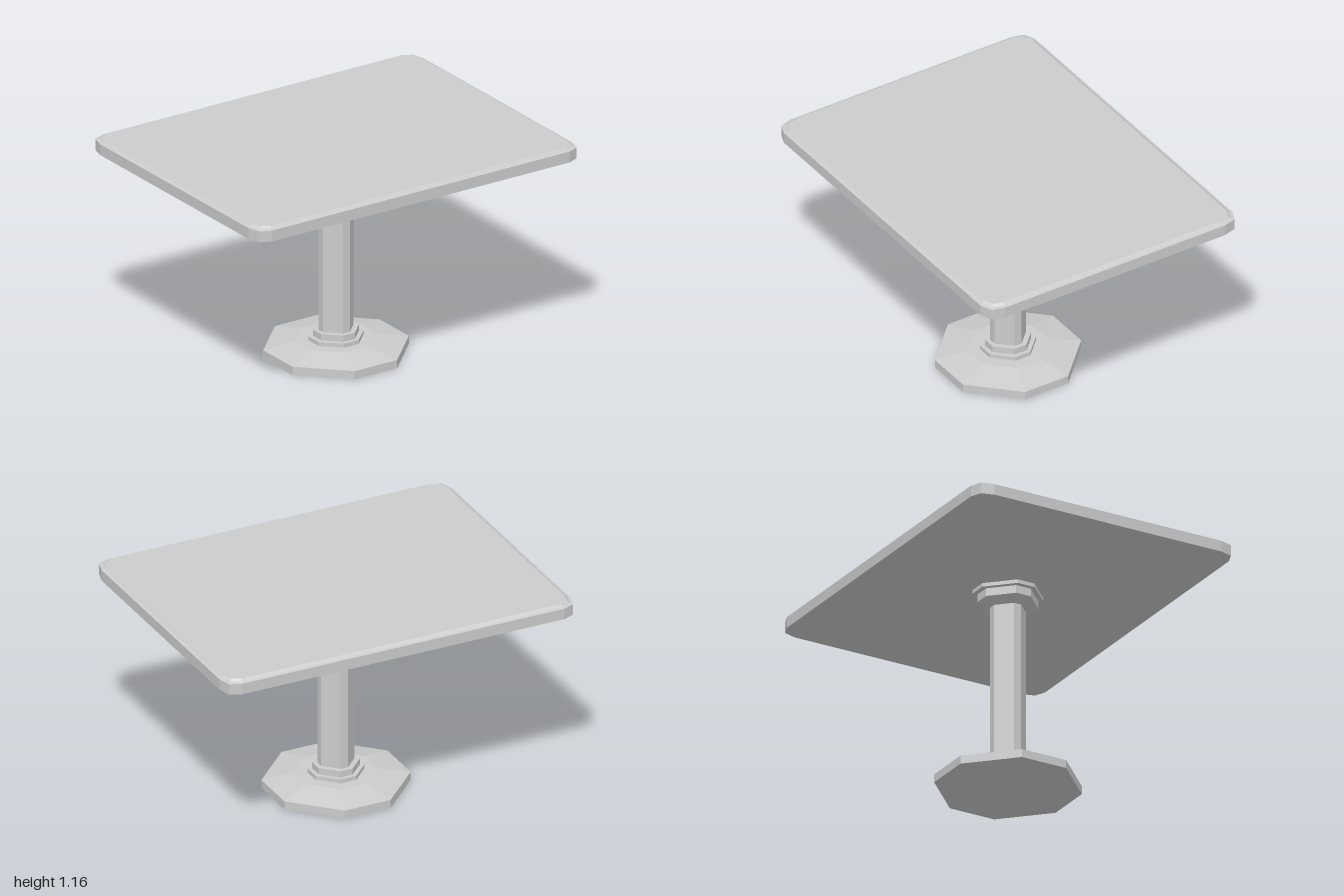
import * as THREE from 'three';

const material = new THREE.MeshStandardMaterial({ color: 0xcccccc, flatShading: true });

// Mirror the points of one corner into a closed outline
function mirrorCorner(q) {
  const r = [...q].reverse();
  return [
    ...q,
    ...r.map(([x, z]) => [-x, z]),
    ...q.map(([x, z]) => [-x, -z]),
    ...r.map(([x, z]) => [x, -z]),
  ];
}

// Eight-sided outline: half width h, half length c of the four straight sides
const octagon = (h, c) => mirrorCorner([[h, c], [c, h]]);

// Rounded table outline, moved inwards by d
const tableOutline = (d) => mirrorCorner([
  [1 - d, 0.67 - 0.5 * d],
  [0.98 - 0.8 * d, 0.74 - d],
  [0.92 - 0.4 * d, 0.765 - d],
]);

// Closed solid through a stack of outlines, each given as [y, outline]
function loft(name, sections) {
  const pos = [];
  const rings = sections.map(([y, pts]) => pts.map(([x, z]) => [x, y, z]));
  const n = rings[0].length;
  const tri = (a, b, c) => pos.push(...a, ...b, ...c);
  for (let i = 0; i < n; i++) {
    const j = (i + 1) % n;
    for (let k = 0; k + 1 < rings.length; k++) {
      const a = rings[k], b = rings[k + 1];
      tri(a[i], b[i], b[j]);
      tri(a[i], b[j], a[j]);
    }
    const bottom = rings[0], top = rings[rings.length - 1];
    tri([0, bottom[0][1], 0], bottom[i], bottom[j]);
    tri([0, top[0][1], 0], top[j], top[i]);
  }
  const geometry = new THREE.BufferGeometry();
  geometry.setAttribute('position', new THREE.Float32BufferAttribute(pos, 3));
  geometry.computeVertexNormals();
  const mesh = new THREE.Mesh(geometry, material);
  mesh.name = name;
  return mesh;
}

export function createModel() {
  const table = new THREE.Group();
  table.name = 'pedestalTable';

  table.add(
    // Foot plate with sloping top
    loft('base', [
      [0, octagon(0.36, 0.131)],
      [0.045, octagon(0.36, 0.131)],
      [0.078, octagon(0.2, 0.073)],
    ]),
    // Two stepped rings around the foot of the column
    loft('lowerCollar', [[0.078, octagon(0.14, 0.045)], [0.1, octagon(0.14, 0.045)]]),
    loft('upperCollar', [[0.1, octagon(0.118, 0.036)], [0.135, octagon(0.118, 0.036)]]),
    // Column
    loft('column', [[0.135, octagon(0.095, 0.021)], [1.0, octagon(0.095, 0.021)]]),
    // Flared capital and mounting plate
    loft('capital', [
      [1.0, octagon(0.095, 0.028)],
      [1.027, octagon(0.155, 0.043)],
      [1.07, octagon(0.155, 0.043)],
    ]),
    loft('mountingPlate', [[1.07, octagon(0.182, 0.05)], [1.09, octagon(0.182, 0.05)]]),
    // Table top with stepped bevel
    loft('tableTop', [
      [1.09, tableOutline(0)],
      [1.15, tableOutline(0)],
      [1.154, tableOutline(0.015)],
      [1.165, tableOutline(0.028)],
    ]),
  );

  return table;
}
